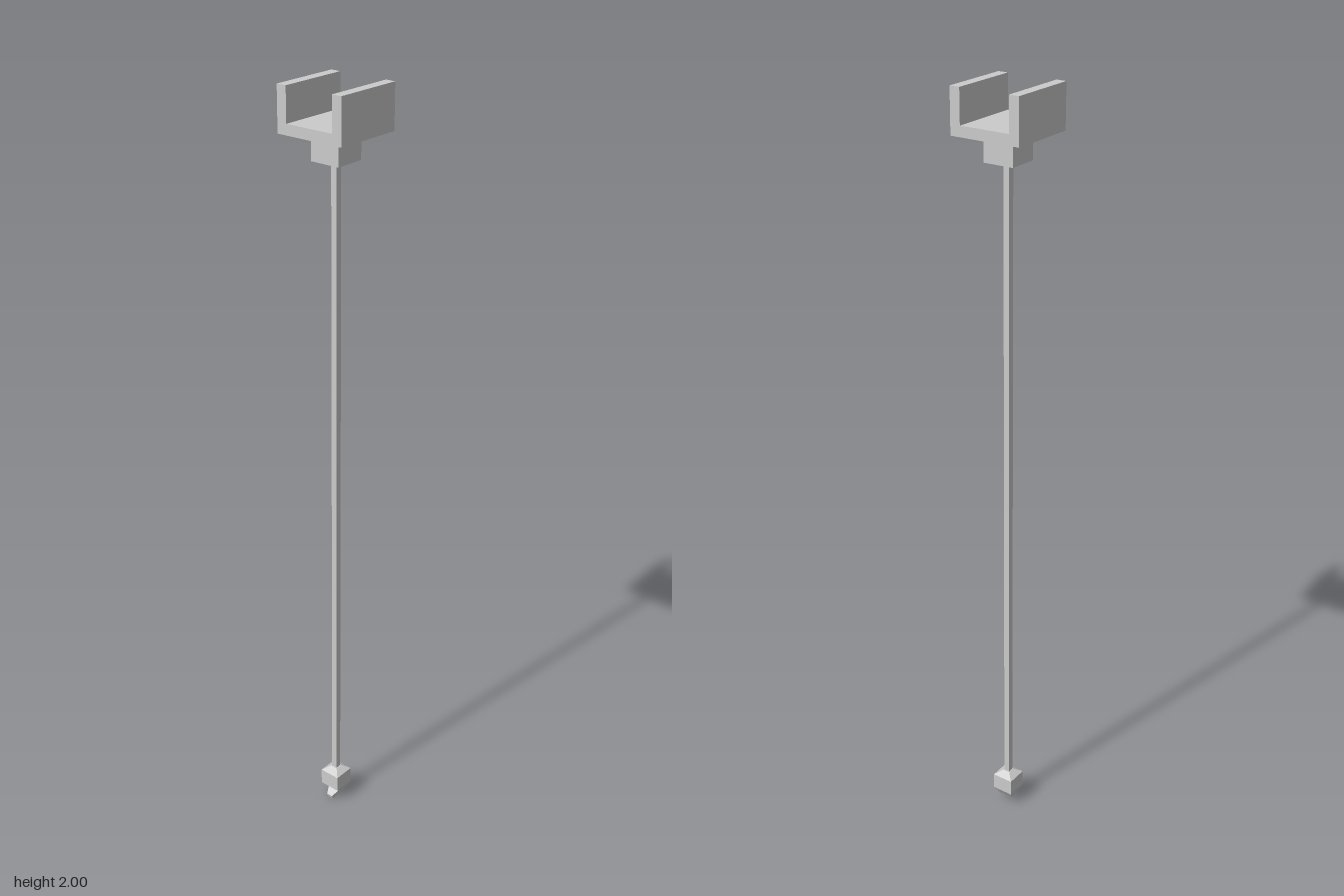
import * as THREE from 'three';

const material = new THREE.MeshStandardMaterial({ color: 0xcccccc, flatShading: true });

function add(group, name, geometry, y = 0) {
  const mesh = new THREE.Mesh(geometry, material);
  mesh.name = name;
  mesh.position.y = y;
  group.add(mesh);
}

// Joins four-cornered rings, listed from top to bottom: [halfWidth, zFront, yFront, zBack, yBack]
function loft(rings) {
  const corners = rings.map(([w, zf, yf, zb, yb]) =>
    [[-w, yf, zf], [w, yf, zf], [w, yb, zb], [-w, yb, zb]]);
  const points = [];
  const quad = (a, b, c, d) => points.push(...a, ...b, ...c, ...a, ...c, ...d);
  quad(...corners[0]);
  for (let i = 0; i + 1 < corners.length; i++) {
    const top = corners[i], bottom = corners[i + 1];
    for (let j = 0; j < 4; j++) {
      const k = (j + 1) % 4;
      quad(bottom[j], bottom[k], top[k], top[j]);
    }
  }
  quad(...corners[corners.length - 1].slice().reverse());
  const geometry = new THREE.BufferGeometry();
  geometry.setAttribute('position', new THREE.Float32BufferAttribute(points, 3));
  geometry.computeVertexNormals();
  return geometry;
}

export function createModel() {
  const group = new THREE.Group();
  group.name = 'forkedPole';

  // U-shaped cradle, open at the top and along z
  const outer = 0.0925, inner = 0.066;
  const profile = new THREE.Shape([
    [-outer, 1.89], [outer, 1.89], [outer, 2], [inner, 2],
    [inner, 1.916], [-inner, 1.916], [-inner, 2], [-outer, 2],
  ].map(([x, y]) => new THREE.Vector2(x, y)));
  const cradle = new THREE.ExtrudeGeometry(profile, { depth: 2 * outer, bevelEnabled: false });
  cradle.translate(0, 0, -outer);
  add(group, 'cradle', cradle);

  // Square socket and long square rod
  add(group, 'socket', new THREE.BoxGeometry(0.08, 0.064, 0.08), 1.858);
  add(group, 'rod', new THREE.BoxGeometry(0.016, 1.746, 0.016), 0.959);

  // Foot block with a sloped collar
  add(group, 'footBlock', loft([
    [0.01, 0.01, 0.1, -0.01, 0.1],
    [0.029, 0.029, 0.087, -0.029, 0.087],
    [0.029, 0.029, 0.042, -0.029, 0.042],
  ]));

  // Tapered claw hooking forward
  add(group, 'claw', loft([
    [0.029, 0.029, 0.042, -0.029, 0.042],
    [0.018, 0.01, 0.026, -0.014, 0.018],
    [0.009, 0.029, 0.011, 0.025, 0],
  ]));
  return group;
}
